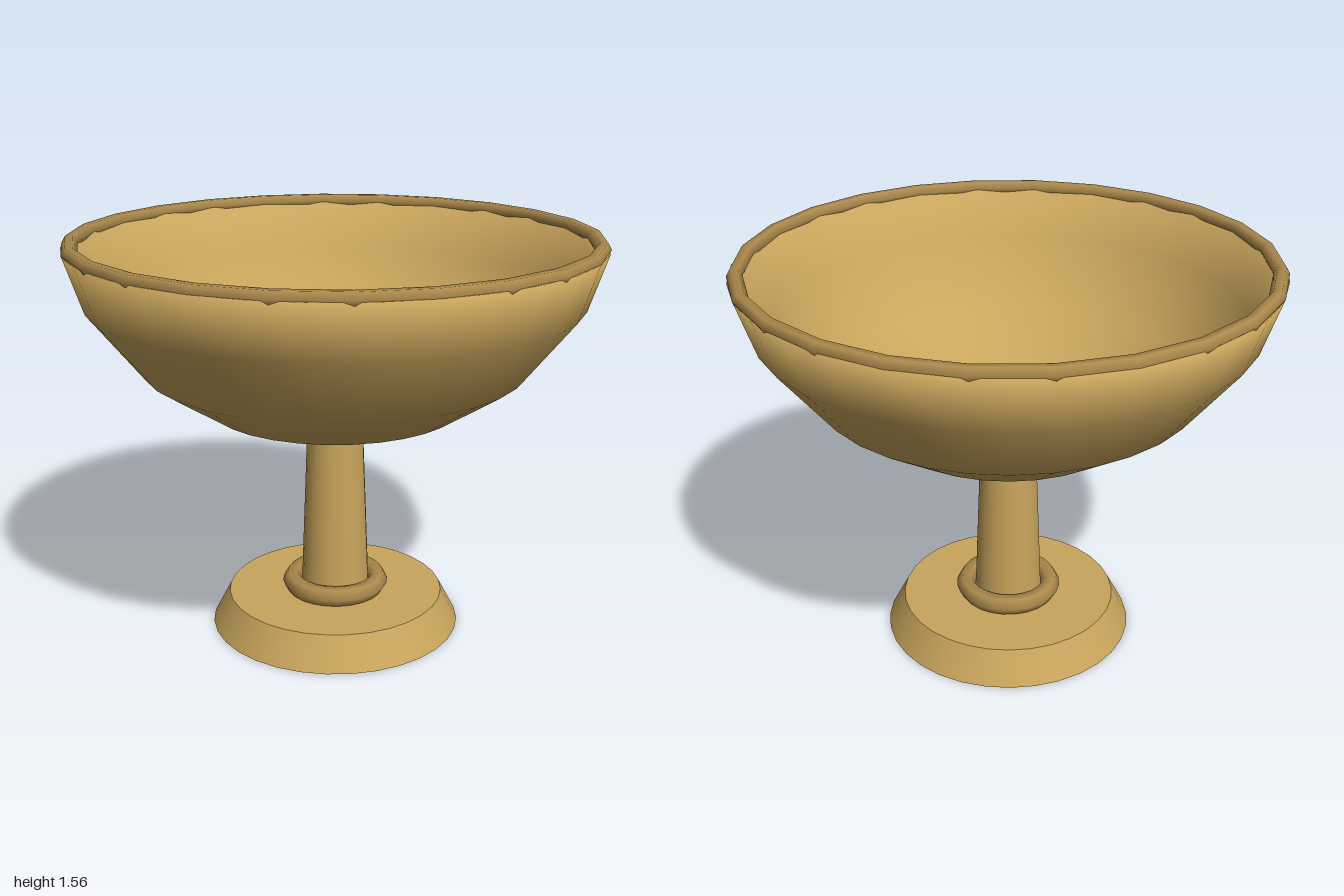
import * as THREE from 'three';
import { toCreasedNormals } from 'three/addons/utils/BufferGeometryUtils.js';

export function createModel() {
  const model = new THREE.Group();
  model.name = 'goblet';

  const brass = new THREE.MeshStandardMaterial({ color: 0xc9a55c });
  brass.name = 'brass';
  const darkBrass = new THREE.MeshStandardMaterial({ color: 0xac8a4c });
  darkBrass.name = 'dark brass';

  const add = (name, geometry, material, y) => {
    const mesh = new THREE.Mesh(geometry, material);
    mesh.name = name;
    mesh.position.y = y;
    model.add(mesh);
  };
  // horizontal ring with a six-sided section
  const ring = (radius, tube) =>
    new THREE.TorusGeometry(radius, tube, 6, 24).rotateX(Math.PI / 2);

  // foot, collar and tapered stem
  add('foot', new THREE.CylinderGeometry(0.425, 0.492, 0.128, 32), brass, 0.064);
  add('collar', ring(0.17, 0.04), darkBrass, 0.16);
  add('stem', new THREE.CylinderGeometry(0.107, 0.135, 0.715, 24), brass, 0.4825);

  // thick-walled bowl: up the outside, over the lip, down the inside
  const profile = [
    [0, 0.82], [0.25, 0.82], [0.49, 0.905], [0.725, 1.06], [0.93, 1.32], [0.998, 1.53],
    [0.948, 1.53], [0.883, 1.34], [0.688, 1.097], [0.465, 0.95], [0.24, 0.87], [0, 0.87],
  ].map(([x, y]) => new THREE.Vector2(x, y));
  add('bowl', toCreasedNormals(new THREE.LatheGeometry(profile, 32), 2), brass, 0);

  // lip around the opening
  add('rim', ring(0.971, 0.029), darkBrass, 1.535);

  return model;
}
